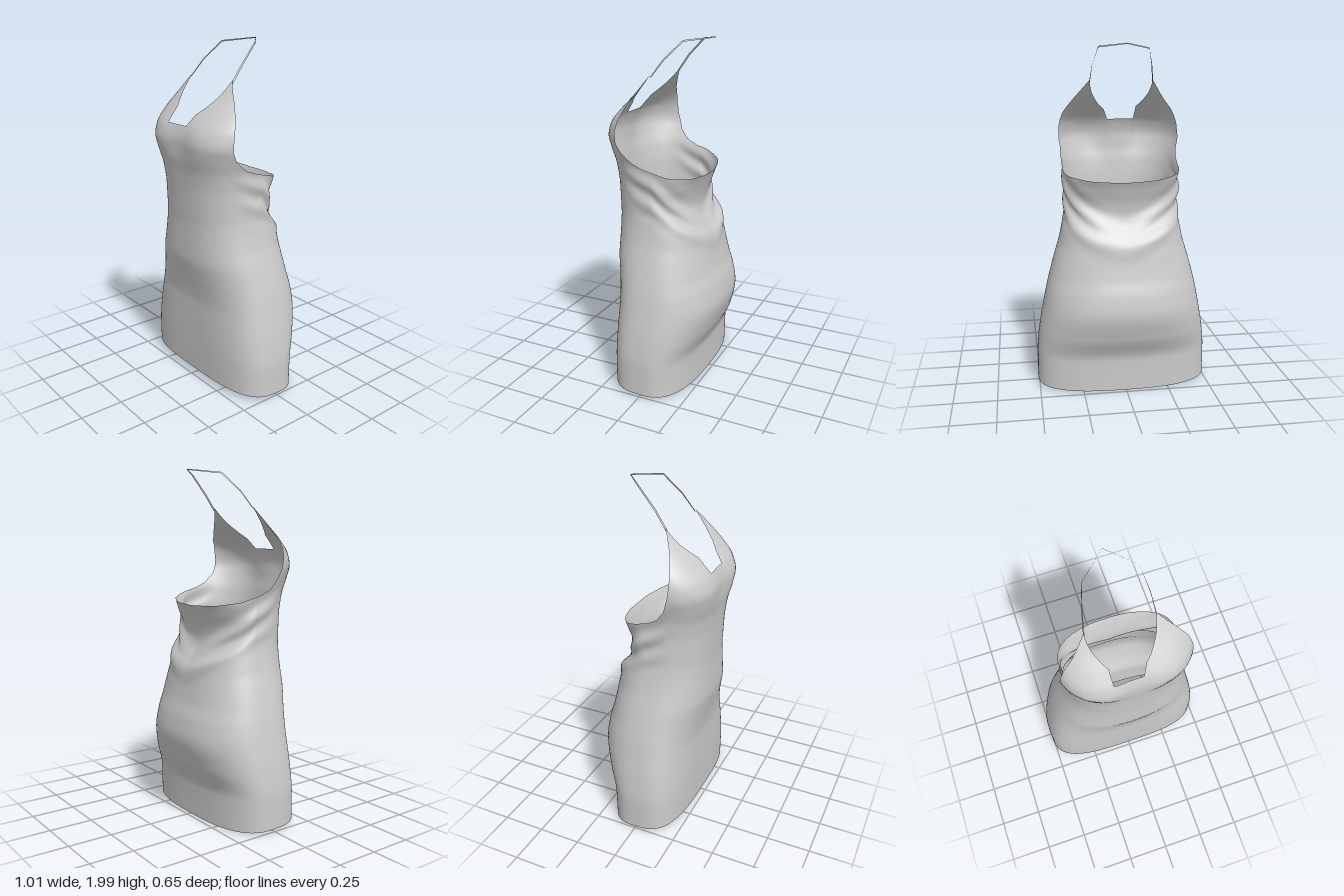
import * as THREE from 'three';

// Body cross-sections: height, half width, front depth, back depth, front and back roundness exponents
const SECTIONS = [
  [0.00, 0.507, 0.236, 0.225, 3.3, 2.7], [0.20, 0.507, 0.241, 0.230, 3.2, 2.7],
  [0.35, 0.492, 0.243, 0.290, 3.0, 2.5], [0.50, 0.465, 0.243, 0.326, 2.8, 2.4],
  [0.60, 0.445, 0.254, 0.312, 2.6, 2.4], [0.70, 0.420, 0.273, 0.282, 2.5, 2.4],
  [0.80, 0.392, 0.288, 0.262, 2.5, 2.3], [0.88, 0.368, 0.288, 0.253, 2.5, 2.2],
  [0.95, 0.352, 0.287, 0.205, 2.5, 2.2], [1.00, 0.343, 0.287, 0.176, 2.5, 2.2],
  [1.06, 0.336, 0.290, 0.162, 2.5, 2.2], [1.20, 0.336, 0.297, 0.192, 2.5, 2.2],
  [1.30, 0.341, 0.309, 0.225, 2.6, 2.3], [1.40, 0.366, 0.337, 0.230, 2.6, 2.4],
  [1.47, 0.388, 0.347, 0.230, 2.6, 2.4], [1.54, 0.388, 0.324, 0.230, 2.6, 2.4],
  [1.61, 0.374, 0.262, 0.200, 2.6, 2.4], [1.70, 0.325, 0.172, 0.150, 2.6, 2.4],
  [1.80, 0.270, 0.085, 0.100, 2.6, 2.4],
];

// Upper edge as [angle from the front, height]; negative angles are the right side
const EDGE = [
  [-180, 1.245], [-150, 1.252], [-114, 1.275], [-90, 1.305], [-80, 1.345], [-74, 1.4], [-71, 1.46],
  [-67, 1.54], [-61, 1.61], [-53, 1.68], [-42.6, 1.8], [-30, 1.72], [-14.8, 1.64], [-12.7, 1.56],
  [2.9, 1.56], [6, 1.62], [22, 1.72], [33, 1.8], [46.5, 1.7], [55, 1.61], [58.5, 1.53],
  [60, 1.45], [64, 1.4], [75, 1.345], [90, 1.305], [114, 1.275], [150, 1.252], [180, 1.245],
];

const { smoothstep, degToRad } = THREE.MathUtils;
const gauss = (d, s) => Math.exp(-(d / s) * (d / s));

// Smooth monotone interpolation of one section column at height y
function section(y, c) {
  const n = SECTIONS.length;
  const slope = (i) => (SECTIONS[i + 1][c] - SECTIONS[i][c]) / (SECTIONS[i + 1][0] - SECTIONS[i][0]);
  const tangent = (i) => {
    if (i === 0) return slope(0);
    if (i === n - 1) return slope(n - 2);
    const a = slope(i - 1), b = slope(i);
    return a * b <= 0 ? 0 : (2 * a * b) / (a + b);
  };
  let k = 0;
  while (k < n - 2 && y > SECTIONS[k + 1][0]) k++;
  const h = SECTIONS[k + 1][0] - SECTIONS[k][0];
  const s = (y - SECTIONS[k][0]) / h, s2 = s * s, s3 = s2 * s;
  return (2 * s3 - 3 * s2 + 1) * SECTIONS[k][c] + (s3 - 2 * s2 + s) * h * tangent(k)
    + (3 * s2 - 2 * s3) * SECTIONS[k + 1][c] + (s3 - s2) * h * tangent(k + 1);
}

// Point on the cloth at an angle (degrees) and height
function clothPoint(deg, y) {
  const t = degToRad(deg), a = Math.abs(deg);
  const sn = Math.sin(t), cs = Math.cos(t), front = cs > 0;
  const p = 2 / section(y, front ? 4 : 5);
  // the hollow of the back rises towards the sides in a V
  const yBack = y - 0.09 * Math.abs(sn) * smoothstep(y, 0.65, 0.95) * (1 - smoothstep(y, 1.1, 1.25));
  let x = section(y, 1) * Math.sign(sn) * Math.abs(sn) ** p;
  let z = (front ? section(y, 2) : section(yBack, 3)) * Math.sign(cs) * Math.abs(cs) ** p;
  // hollow between the cups
  if (front) z -= 0.032 * gauss(x, 0.14) * gauss(y - 1.48, 0.13);
  // diagonal folds running from the sides down to the middle of the back
  const line = 1.27 - 0.34 * Math.max(0, a - 60) / 120;
  const fade = smoothstep(a, 55, 95) * (1 - 0.75 * smoothstep(a, 135, 180));
  const fold = 0.01 * fade * gauss(y - line, 0.12) * Math.sin((y - line) * 48 + 0.7 * Math.sin(t * 3));
  return [x + fold * sn, y, z + fold * cs];
}

function makeDress() {
  // columns pass through every corner of the upper edge
  const cols = [];
  for (let i = 0; i < EDGE.length - 1; i++) {
    const [a0, y0] = EDGE[i], [a1, y1] = EDGE[i + 1];
    const m = Math.max(2, Math.ceil((a1 - a0) / 2.5));
    for (let j = 0; j < m; j++) cols.push([a0 + (a1 - a0) * j / m, y0 + (y1 - y0) * j / m]);
  }
  const rows = 90, n = cols.length, pos = [], idx = [];
  for (let r = 0; r <= rows; r++) {
    for (const [deg, top] of cols) {
      const hem = 0.03 + 0.02 * Math.cos(degToRad(deg));
      pos.push(...clothPoint(deg, hem + (top - hem) * r / rows));
    }
  }
  for (let r = 0; r < rows; r++) {
    for (let c = 0; c < n; c++) {
      const a = r * n + c, b = r * n + (c + 1) % n;
      idx.push(a, b, b + n, a, b + n, a + n);
    }
  }
  return surface(pos, idx);
}

// Narrow flat ribbon that loops behind the neck
function makeStrap() {
  const path = [
    [-0.200, 1.785, 0.075], [-0.180, 1.88, 0.0], [-0.145, 1.975, -0.105], [0, 1.997, -0.234],
    [0.14, 1.982, -0.105], [0.163, 1.88, 0.0], [0.170, 1.785, 0.075],
  ].map((p) => new THREE.Vector3(...p));
  const pos = [], idx = [];
  path.forEach((p, i) => {
    const along = path[Math.min(i + 1, 6)].clone().sub(path[Math.max(i - 1, 0)]).normalize();
    const outward = new THREE.Vector3(p.x, 0.05, p.z + 0.05).normalize();
    const side = along.cross(outward).normalize().multiplyScalar(i === 3 ? 0.003 : 0.005);
    pos.push(...p.clone().add(side).toArray(), ...p.clone().sub(side).toArray());
    if (i < 6) idx.push(2 * i, 2 * i + 1, 2 * i + 2, 2 * i + 1, 2 * i + 3, 2 * i + 2);
  });
  return surface(pos, idx);
}

function surface(pos, idx) {
  const g = new THREE.BufferGeometry();
  g.setAttribute('position', new THREE.Float32BufferAttribute(pos, 3));
  g.setIndex(idx);
  g.computeVertexNormals();
  return g;
}

export function createModel() {
  const group = new THREE.Group();
  group.name = 'halterDress';
  const cloth = new THREE.MeshStandardMaterial({ color: 0xcccccc, side: THREE.DoubleSide });
  const parts = { dressBody: makeDress(), neckStrap: makeStrap() };
  for (const [name, geometry] of Object.entries(parts)) {
    const mesh = new THREE.Mesh(geometry, cloth);
    mesh.name = name;
    group.add(mesh);
  }
  return group;
}
